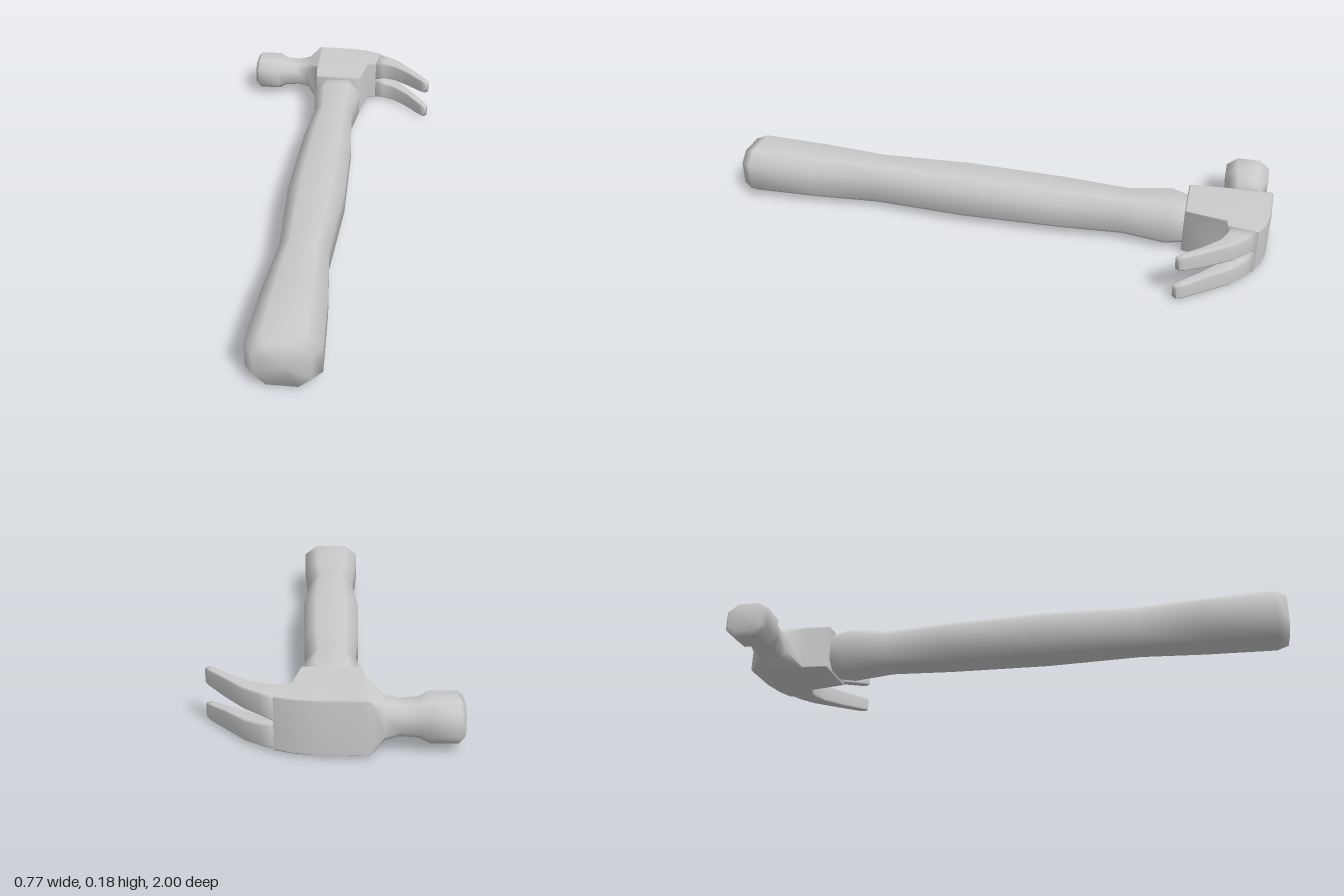
import * as THREE from 'three';

const MID = 0.088; // height of the long axis
const V = (x, y, z) => new THREE.Vector3(x, y, z);

// Chamfered rectangle of eight points: centre c, half axes u and v, k = 1 is square-cornered
function ring(c, u, v, k) {
  const corners = [[1, -k], [1, k], [k, 1], [-k, 1], [-1, k], [-1, -k], [-k, -1], [k, -1]];
  return corners.map(([a, b]) => c.clone().addScaledVector(u, a).addScaledVector(v, b));
}

// Skin over rings, with closed ends; flatEnd keeps the last cap out of the smoothing
function loft(name, rings, material, flatEnd = false) {
  const n = 8, pts = rings.flat(), index = [];
  for (let i = 0; i < rings.length - 1; i++) {
    for (let j = 0; j < n; j++) {
      const a = i * n + j, b = i * n + (j + 1) % n;
      index.push(a, b, b + n, a, b + n, a + n);
    }
  }
  const cap = (r, start, flip) => {
    const centre = pts.length;
    pts.push(r.reduce((s, p) => s.add(p), V(0, 0, 0)).divideScalar(n));
    for (let j = 0; j < n; j++) {
      const a = start + j, b = start + (j + 1) % n;
      if (flip) index.push(centre, b, a);
      else index.push(centre, a, b);
    }
  };
  cap(rings[0], 0, true);
  const last = rings[rings.length - 1];
  let start = (rings.length - 1) * n;
  if (flatEnd) {
    start = pts.length;
    pts.push(...last.map(p => p.clone()));
  }
  cap(last, start, false);
  const geometry = new THREE.BufferGeometry().setFromPoints(pts);
  geometry.setIndex(index);
  geometry.computeVertexNormals();
  const mesh = new THREE.Mesh(geometry, material);
  mesh.name = name;
  return mesh;
}

// Head section from a back point to a front point (x, z), between two heights
function headRing(bx, bz, fx, fz, y0, y1, k) {
  return ring(V((bx + fx) / 2, (y0 + y1) / 2, (bz + fz) / 2),
    V(0, (y1 - y0) / 2, 0), V((fx - bx) / 2, 0, (fz - bz) / 2), k);
}

export function createModel() {
  const group = new THREE.Group();
  group.name = 'clawHammer';
  const material = new THREE.MeshStandardMaterial({ color: 0xcccccc });

  // Handle: z, half width, half height
  const handle = [
    [-0.72, 0.078, 0.072], [-0.70, 0.08, 0.075], [-0.64, 0.097, 0.085], [-0.48, 0.077, 0.072],
    [-0.25, 0.095, 0.078], [0.12, 0.104, 0.083], [0.47, 0.085, 0.079], [0.7, 0.106, 0.085],
    [0.96, 0.119, 0.088], [1.0, 0.09, 0.078],
  ].map(([z, w, h]) => ring(V(-0.002, MID - (0.088 - h) * 0.2, z), V(w, 0, 0), V(0, h, 0), 0.55));
  group.add(loft('handle', handle, material));

  // Head: back x, back z, front x, front z, half height, squareness
  const head = [
    [-0.386, -0.972, -0.386, -0.84, 0.052, 0.52],
    [-0.37, -0.986, -0.37, -0.826, 0.066, 0.52],
    [-0.285, -0.986, -0.285, -0.828, 0.066, 0.52],
    [-0.255, -0.97, -0.255, -0.842, 0.051, 0.52],
    [-0.2, -0.965, -0.2, -0.847, 0.048, 0.52],
    [-0.155, -0.974, -0.155, -0.845, 0.055, 0.6],
    [-0.11, -1.0, -0.105, -0.795, 0.084, 0.94],
    [-0.1, -1.0, -0.096, -0.7, 0.084, 0.96],
    [0.04, -0.996, 0.09, -0.7, 0.084, 0.96],
    [0.11, -0.981, 0.115, -0.845, 0.084, 0.94],
    [0.165, -0.957, 0.15, -0.85, 0.084, 0.92],
  ].map(([bx, bz, fx, fz, h, k]) => headRing(bx, bz, fx, fz, 0.089 - h, 0.089 + h, k));
  group.add(loft('head', head, material, true));

  // Two claw prongs: back x, back z, front x, front z, half slit, outer half height
  const claw = [
    [0.16, -0.957, 0.145, -0.852, 0.0, 0.083],
    [0.205, -0.93, 0.185, -0.85, 0.012, 0.084],
    [0.255, -0.888, 0.235, -0.83, 0.016, 0.084],
    [0.32, -0.802, 0.298, -0.775, 0.021, 0.084],
    [0.375, -0.73, 0.352, -0.712, 0.03, 0.084],
    [0.386, -0.712, 0.37, -0.695, 0.034, 0.081],
  ];
  for (const side of [1, -1]) {
    const rings = claw.map(([bx, bz, fx, fz, gap, h]) => {
      const ys = [0.089 + side * gap, 0.089 + side * h].sort((a, b) => a - b);
      return headRing(bx, bz, fx, fz, ys[0], ys[1], 0.8);
    });
    group.add(loft(side > 0 ? 'upperClawProng' : 'lowerClawProng', rings, material));
  }
  return group;
}
